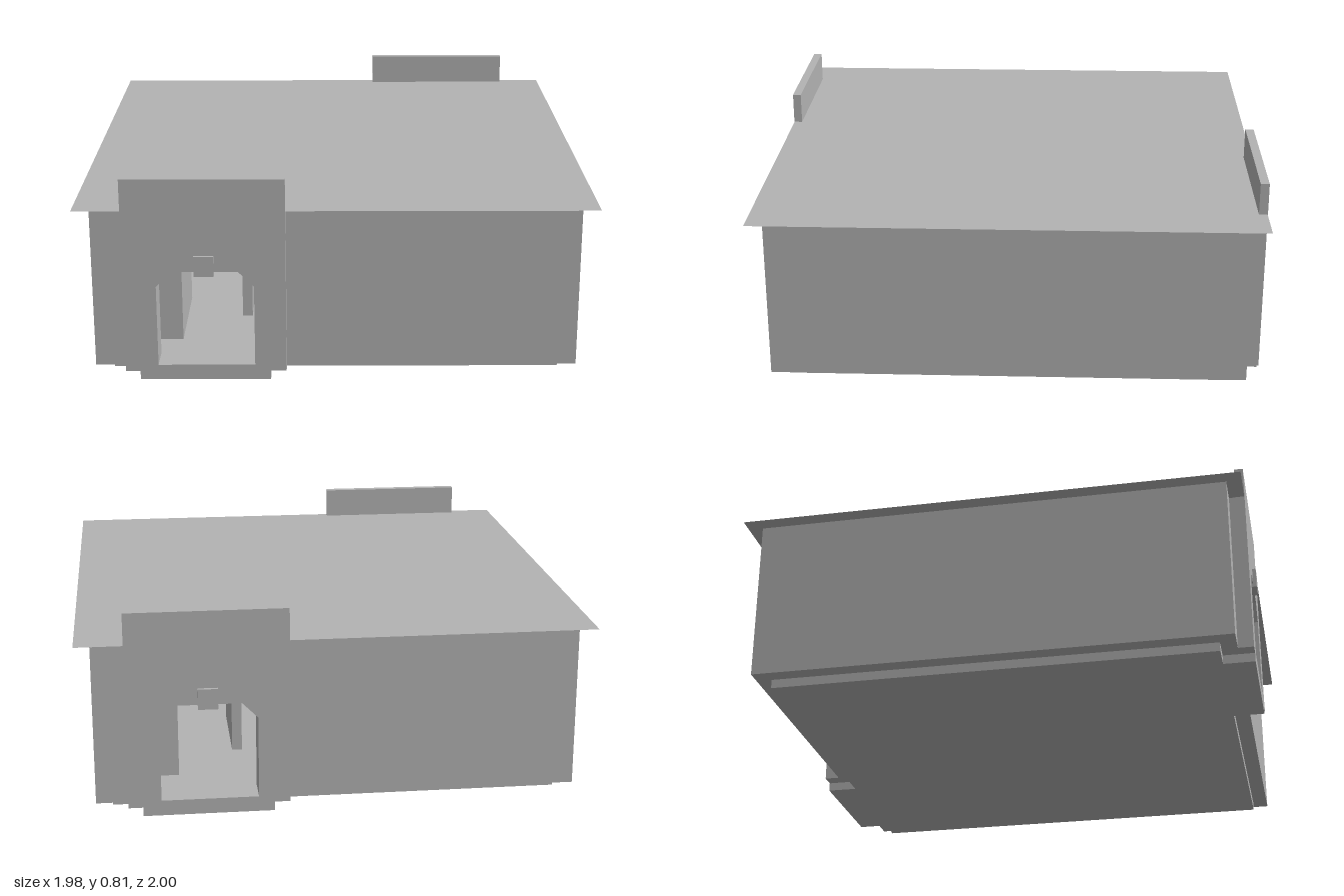
import * as THREE from 'three';

export function createModel() {
  const model = new THREE.Group();
  model.name = 'lowGatedBuilding';
  const grey = new THREE.MeshStandardMaterial({ color: 0xb3b3b3 });
  grey.name = 'plainGrey';
  const greySheet = new THREE.MeshStandardMaterial({ color: 0xb3b3b3, side: THREE.DoubleSide });
  greySheet.name = 'plainGreySheet';

  // Box given by its minimum and maximum corners
  function box(parent, name, [x0, y0, z0], [x1, y1, z1]) {
    const mesh = new THREE.Mesh(new THREE.BoxGeometry(x1 - x0, y1 - y0, z1 - z0), grey);
    mesh.position.set((x0 + x1) / 2, (y0 + y1) / 2, (z0 + z1) / 2);
    mesh.name = name;
    parent.add(mesh);
  }

  // Upright panel pierced by the chamfered doorway
  function doorPanel(parent, name, x0, x1, y1, z0, z1) {
    const points = list => list.map(([x, y]) => new THREE.Vector2(x, y));
    const shape = new THREE.Shape(points([[x0, 0.035], [x1, 0.035], [x1, y1], [x0, y1]]));
    shape.holes.push(new THREE.Path(points([
      [-0.68, 0.06], [-0.68, 0.38], [-0.62, 0.44], [-0.37, 0.44], [-0.31, 0.38], [-0.31, 0.06],
    ])));
    const geometry = new THREE.ExtrudeGeometry(shape, { depth: z1 - z0, bevelEnabled: false });
    geometry.translate(0, 0, z0);
    const mesh = new THREE.Mesh(geometry, grey);
    mesh.name = name;
    parent.add(mesh);
  }

  // Base plinth and raised floor
  box(model, 'basePlinth', [-0.865, 0, -0.865], [0.865, 0.035, 0.865]);
  box(model, 'floor', [-0.87, 0.035, -0.87], [0.87, 0.06, 0.87]);

  // Thin overhanging roof sheet
  const roof = new THREE.Mesh(new THREE.PlaneGeometry(1.975, 1.97), greySheet);
  roof.rotation.x = -Math.PI / 2;
  roof.position.y = 0.68;
  roof.name = 'roof';
  model.add(roof);

  // The two ends are alike, turned half a circle about the centre
  for (let i = 0; i < 2; i++) {
    const half = new THREE.Group();
    half.name = i ? 'backHalf' : 'frontHalf';
    half.rotation.y = i * Math.PI;
    model.add(half);

    // Outer walls
    doorPanel(half, 'endWall', -0.928, 0.928, 0.679, 0.87, 0.926);
    box(half, 'sideWall', [0.87, 0.035, -0.87], [0.928, 0.679, 0.87]);

    // Gate: backing, tall face, doorstep and keystone
    doorPanel(half, 'gateBacking', -0.805, -0.19, 0.679, 0.926, 0.952);
    doorPanel(half, 'gateFace', -0.805, -0.19, 0.805, 0.952, 0.986);
    box(half, 'doorstep', [-0.75, 0, 0.865], [-0.25, 0.035, 0.986]);
    box(half, 'keystone', [-0.535, 0.425, 0.97], [-0.46, 0.505, 1]);

    // Inner partitions lining the passage
    box(half, 'passageCrossWall', [-0.87, 0.06, 0.7], [-0.605, 0.679, 0.74]);
    box(half, 'passageSideWall', [-0.645, 0.06, 0.3], [-0.605, 0.679, 0.7]);
    box(half, 'passageInnerWall', [-0.38, 0.06, 0.1], [-0.34, 0.679, 0.5]);
    box(half, 'upperLedge', [-0.605, 0.27, 0.32], [-0.52, 0.31, 0.4]);
    box(half, 'lowRail', [-0.54, 0.115, 0.06], [-0.42, 0.145, 0.1]);
  }
  return model;
}
